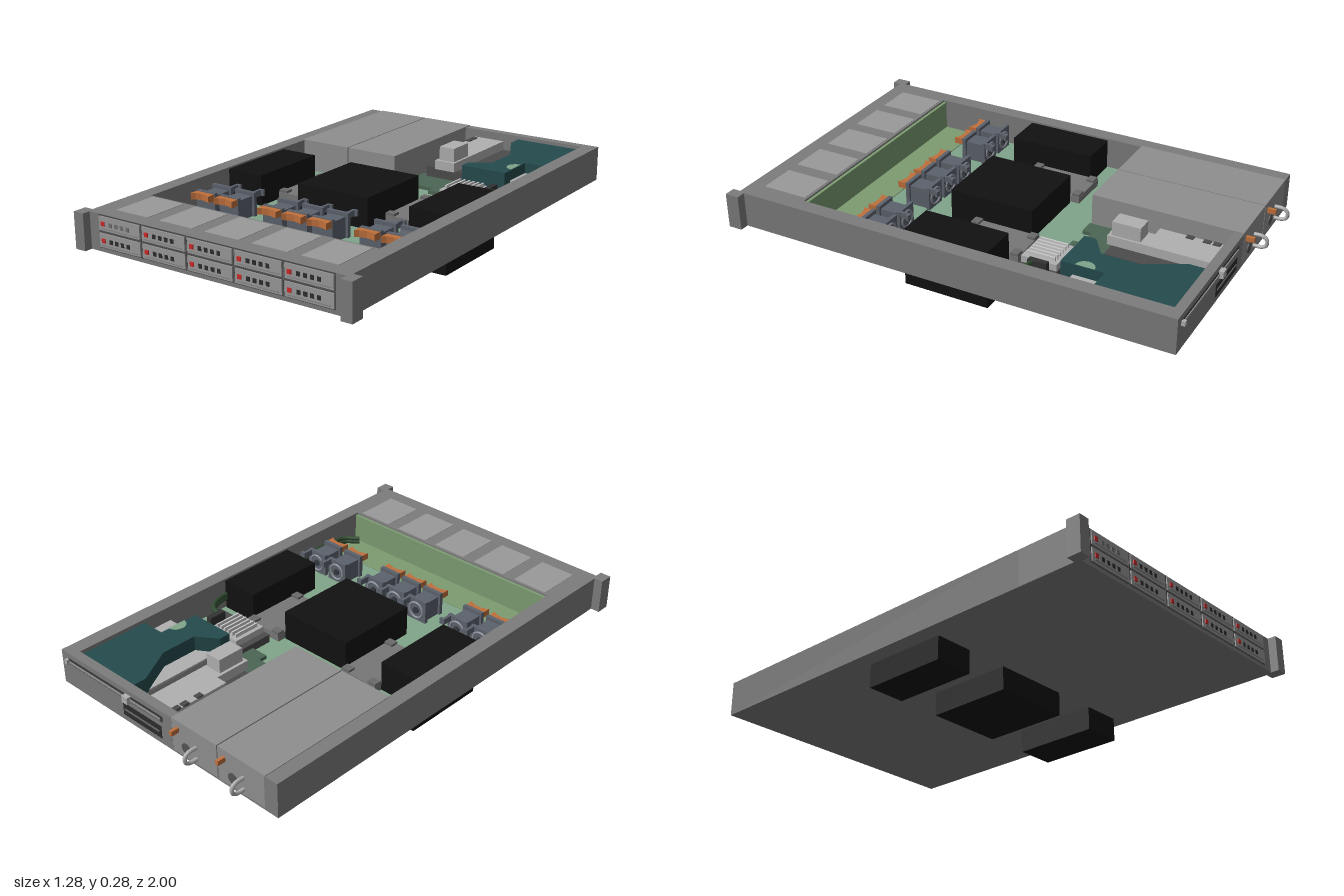
import * as THREE from 'three';

const mats = {};
const mat = (c) => (mats[c] ??= new THREE.MeshStandardMaterial({ color: c, side: THREE.DoubleSide }));
const STEEL = 0x7c7c7c, LIGHT = 0xb0b0b0, SUPPLY = 0x8f8f8f, DARK = 0x4c4c4c, BLACK = 0x111111;
const BOARD = 0x80a58a, TEAL = 0x254b4d, SLATE = 0x5c626c, ORANGE = 0xc0703c, CABLE = 0x2f4a30;

function add(parent, name, geo, color) {
  const m = new THREE.Mesh(geo, mat(color));
  m.name = name;
  parent.add(m);
  return m;
}

// Box given by its limits on each axis
function box(parent, name, color, x0, x1, y0, y1, z0, z1) {
  const m = add(parent, name, new THREE.BoxGeometry(x1 - x0, y1 - y0, z1 - z0), color);
  m.position.set((x0 + x1) / 2, (y0 + y1) / 2, (z0 + z1) / 2);
  return m;
}

// Plan outline of [x, z] points raised from y0 to y1
function slab(parent, name, color, pts, y0, y1) {
  const shape = new THREE.Shape(pts.map(([x, z]) => new THREE.Vector2(x, -z)));
  const geo = new THREE.ExtrudeGeometry(shape, { depth: y1 - y0, bevelEnabled: false });
  geo.rotateX(-Math.PI / 2).translate(0, y0, 0);
  return add(parent, name, geo, color);
}

function tube(parent, name, color, pts, r, segments = 32) {
  const curve = new THREE.CatmullRomCurve3(pts.map((p) => new THREE.Vector3(...p)));
  return add(parent, name, new THREE.TubeGeometry(curve, segments, r, 8), color);
}

function group(parent, name) {
  const g = new THREE.Group();
  g.name = name;
  parent.add(g);
  return g;
}

function chassis(root) {
  const g = group(root, 'chassis');
  box(g, 'floor', STEEL, -0.6, 0.6, 0.1, 0.108, -0.94, 0.965);
  box(g, 'driveCage', STEEL, -0.6, 0.6, 0.1, 0.25, 0.69, 0.965);
  for (const s of [-1, 1]) {
    const side = box(g, 'sideWall', STEEL, -0.0325, 0.0325, 0.1, 0.25, -0.94, 0.69);
    side.position.x = s * 0.5675;
    const ear = box(g, 'rackEar', STEEL, -0.024, 0.024, 0.1, 0.25, 0.94, 1.0);
    ear.position.x = s * 0.615;
  }
  box(g, 'rearWall', STEEL, -0.05, 0.6, 0.1, 0.25, -0.94, -0.9);
  // Lighter panels on the lid above the drives
  for (let i = 0; i < 5; i++) {
    const x = -0.437 + i * 0.218;
    box(g, 'lidPanel', 0x9a9a9a, x - 0.08, x + 0.08, 0.249, 0.2515, 0.7, 0.9);
  }
}

function drives(root) {
  for (let c = 0; c < 5; c++) for (let r = 0; r < 2; r++) {
    const g = group(root, 'driveBay');
    g.position.set(-0.436 + c * 0.219, 0.149 + r * 0.067, 0.965);
    box(g, 'baySurround', DARK, -0.108, 0.108, -0.033, 0.033, -0.005, 0.001);
    box(g, 'driveFace', 0x9b9b9b, -0.103, 0.103, -0.028, 0.028, -0.005, 0.006);
    box(g, 'ledgeStrip', 0x858585, -0.09, 0.09, -0.021, -0.017, 0, 0.009);
    box(g, 'releaseButton', 0xd02a2a, -0.09, -0.073, -0.009, 0.008, 0, 0.01);
    for (let i = 0; i < 4; i++) {
      const x = -0.052 + i * 0.029;
      box(g, 'ventHole', c === 0 && r === 1 ? 0x707070 : 0x2c2c2c, x, x + 0.016, -0.009, 0.008, 0, 0.0075);
    }
  }
}

function fan(root, x) {
  const g = group(root, 'fan');
  g.position.x = x;
  box(g, 'fanBody', SLATE, -0.038, 0.038, 0.115, 0.2, 0.35, 0.45);
  box(g, 'rearPlate', SLATE, -0.05, 0.05, 0.115, 0.215, 0.338, 0.354);
  box(g, 'frontPlate', SLATE, -0.048, 0.048, 0.115, 0.215, 0.435, 0.452);
  box(g, 'latchArm', SLATE, 0.033, 0.046, 0.19, 0.215, 0.3, 0.345);
  box(g, 'latchTip', SLATE, 0.033, 0.058, 0.19, 0.215, 0.293, 0.304);
  const ring = add(g, 'fanRing', new THREE.TorusGeometry(0.035, 0.005, 8, 24), 0x8a8f98);
  ring.position.set(0, 0.163, 0.337);
  const hub = add(g, 'fanHub', new THREE.CylinderGeometry(0.014, 0.014, 0.008, 16), 0x34383e);
  hub.rotation.x = Math.PI / 2;
  hub.position.set(0, 0.163, 0.335);
  slab(g, 'fanGrip', ORANGE, [[-0.045, 0.452], [0.045, 0.452], [0.046, 0.49], [0.03, 0.48],
    [0, 0.474], [-0.03, 0.48], [-0.046, 0.49]], 0.185, 0.212);
}

function powerSupply(root, x) {
  const g = group(root, 'powerSupply');
  g.position.x = x;
  box(g, 'supplyCase', SUPPLY, -0.121, 0.121, 0.108, 0.253, -0.94, -0.3);
  tube(g, 'pullHandle', LIGHT, [[-0.01, 0.183, -0.935], [-0.01, 0.182, -0.975], [-0.01, 0.17, -0.993],
    [-0.01, 0.145, -0.993], [-0.01, 0.133, -0.975], [-0.01, 0.132, -0.935]], 0.008);
  box(g, 'releaseTab', ORANGE, 0.08, 0.094, 0.205, 0.225, -0.975, -0.935);
  const socket = add(g, 'powerSocket', new THREE.CylinderGeometry(0.022, 0.022, 0.006, 20), 0x555555);
  socket.rotation.x = Math.PI / 2;
  socket.position.set(0.045, 0.15, -0.941);
}

function processors(root) {
  for (const [x0, x1] of [[-0.53, -0.36], [-0.17, 0.17], [0.36, 0.53]])
    box(root, 'memoryBlock', BLACK, x0, x1, 0, 0.245, -0.143, 0.227);
  for (const x of [-0.27, 0.265]) {
    const g = group(root, 'processorPlate');
    g.position.set(x, 0, -0.035);
    box(g, 'plate', 0x777777, -0.09, 0.09, 0.115, 0.145, -0.145, 0.145);
    for (const sx of [-1, 1]) for (const sz of [-1, 1]) {
      const tab = box(g, 'cornerTab', 0x6a6a6a, -0.02, 0.02, 0.145, 0.155, -0.017, 0.017);
      tab.position.x = sx * 0.069;
      tab.position.z = sz * 0.127;
    }
  }
}

function expansion(root) {
  const g = group(root, 'expansionArea');
  slab(g, 'riserBoard', 0x4c6654, [[-0.035, -0.51], [0.22, -0.51], [0.22, -0.3], [0.12, -0.3], [0.12, -0.34],
    [0.035, -0.34], [0.035, -0.3], [-0.035, -0.3]], 0.115, 0.13);
  box(g, 'riserBracket', DARK, 0, 0.22, 0.13, 0.175, -0.9, -0.48);
  slab(g, 'expansionCard', LIGHT, [[0.005, -0.9], [0.15, -0.9], [0.15, -0.46], [0.055, -0.46], [0.055, -0.62],
    [0.005, -0.62]], 0.175, 0.215);
  box(g, 'cardModule', LIGHT, 0.068, 0.14, 0.21, 0.275, -0.595, -0.475);
  for (const z of [-0.86, -0.82, -0.75])
    box(g, 'cardClip', DARK, 0.005, 0.027, 0.21, 0.22, z - 0.015, z + 0.015);
  // Air duct with the pale parts it wraps around
  slab(g, 'airDuct', TEAL, [[0.225, -0.9], [0.535, -0.9], [0.535, -0.58], [0.43, -0.58], [0.43, -0.4],
    [0.225, -0.4], [0.225, -0.45], [0.312, -0.51], [0.312, -0.67], [0.225, -0.83]], 0.125, 0.235);
  slab(g, 'ductSupport', LIGHT, [[0.235, -0.82], [0.312, -0.67], [0.312, -0.51], [0.235, -0.46]], 0.115, 0.17);
  box(g, 'ductBlock', LIGHT, 0.43, 0.53, 0.115, 0.19, -0.58, -0.45);
  const disc = add(g, 'ductDisc', new THREE.CylinderGeometry(0.04, 0.04, 0.003, 24, 1, false, Math.PI, Math.PI), BOARD);
  disc.position.set(0.43, 0.236, -0.5);
  // Finned heat sink
  box(g, 'sinkBase', DARK, 0.2, 0.465, 0.115, 0.15, -0.365, -0.205);
  box(g, 'sinkBody', LIGHT, 0.23, 0.385, 0.15, 0.178, -0.362, -0.21);
  for (let i = 0; i < 6; i++)
    box(g, 'sinkFin', 0xc0c0c0, 0.248 + i * 0.022, 0.255 + i * 0.022, 0.178, 0.195, -0.345, -0.225);
  box(g, 'cableSocket', 0x333333, 0.405, 0.43, 0.15, 0.2, -0.34, -0.26);
  for (const d of [0, 0.016])
    tube(g, 'cable', CABLE, [[0.42, 0.19 - d, -0.28], [0.47, 0.19 - d, -0.265], [0.51, 0.185 - d, -0.21],
      [0.527, 0.18 - d, -0.14], [0.527, 0.17 - d, 0.15], [0.527, 0.17 - d, 0.5], [0.515, 0.17 - d, 0.57],
      [0.46, 0.17 - d, 0.62]], 0.01, 48);
}

function rearPanel(root) {
  const g = group(root, 'rearPanel');
  box(g, 'cardSlot', 0x2c2c2c, 0.01, 0.23, 0.125, 0.18, -0.942, -0.93);
  box(g, 'slotDivider', 0x666666, 0.02, 0.22, 0.15, 0.157, -0.945, -0.935);
  box(g, 'upperSlot', 0x3a3a3a, 0, 0.56, 0.203, 0.228, -0.942, -0.93);
  box(g, 'upperRail', SUPPLY, 0.01, 0.55, 0.21, 0.218, -0.946, -0.935);
  box(g, 'slotLatch', LIGHT, 0.18, 0.212, 0.2, 0.23, -0.96, -0.935);
  box(g, 'thumbKnob', LIGHT, 0.553, 0.568, 0.205, 0.225, -0.955, -0.935);
}

export function createModel() {
  const root = new THREE.Group();
  root.name = 'rackServer';
  chassis(root);
  box(root, 'mainBoard', BOARD, -0.535, 0.535, 0.108, 0.115, -0.9, 0.53);
  box(root, 'frontTray', 0x7c9c72, -0.535, 0.535, 0.108, 0.118, 0.53, 0.69);
  box(root, 'driveBackplane', 0x7c9c72, -0.535, 0.535, 0.108, 0.242, 0.677, 0.69);
  drives(root);
  for (const x of [-0.465, -0.345, -0.125, -0.005, 0.115, 0.335, 0.455]) fan(root, x);
  for (const x of [-0.419, -0.172]) powerSupply(root, x);
  processors(root);
  expansion(root);
  rearPanel(root);
  return root;
}
